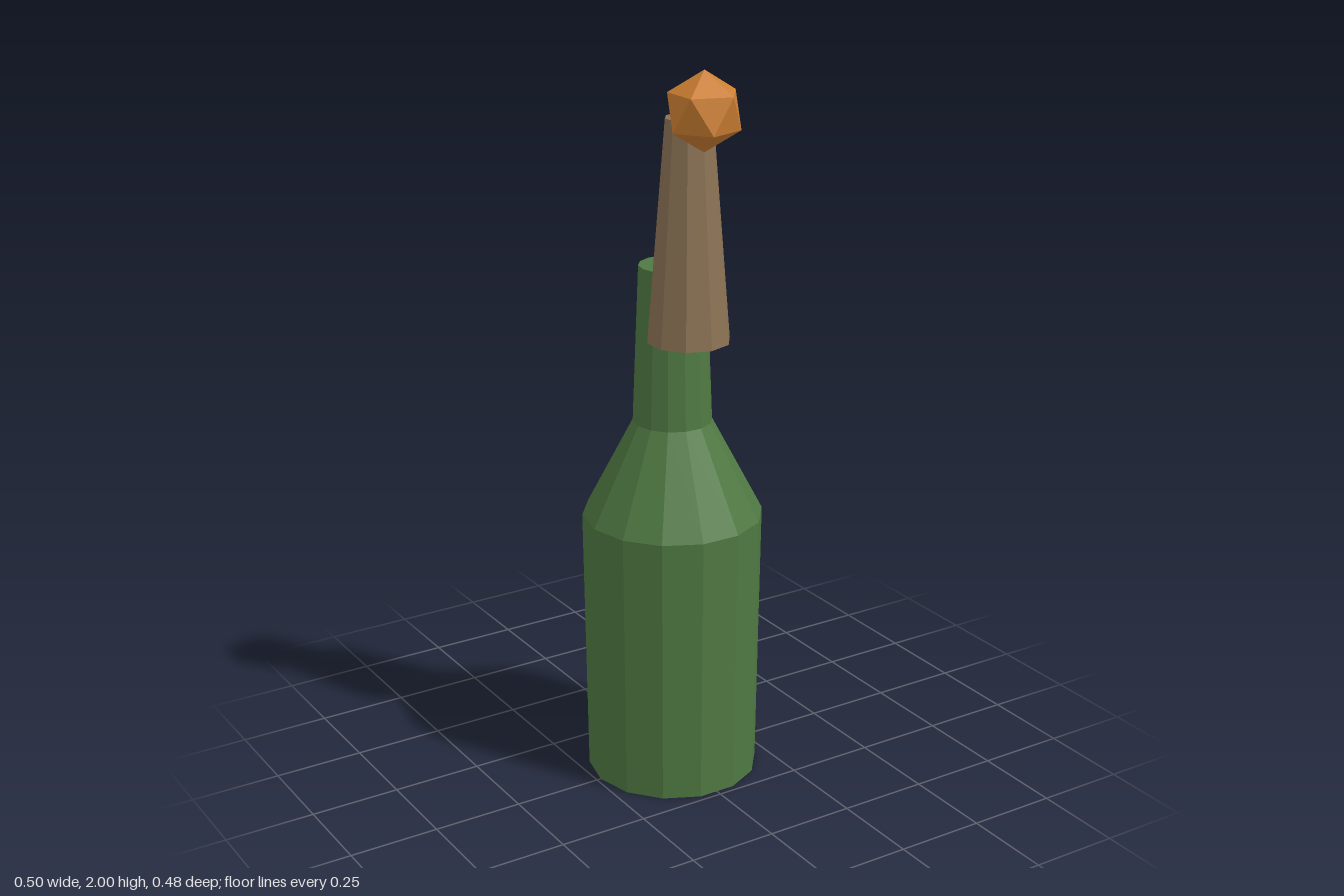
import * as THREE from 'three';

function material(name, color) {
  const m = new THREE.MeshStandardMaterial({ color, flatShading: true });
  m.name = name;
  return m;
}

export function createModel() {
  const group = new THREE.Group();
  group.name = 'stopperedBottle';
  const glass = material('green glass', 0x4f7942);
  const cloth = material('brown cloth', 0x8b7355);
  const orange = material('orange', 0xcd7f32);

  function add(name, geometry, mat, y = 0, z = 0) {
    const mesh = new THREE.Mesh(geometry, mat);
    mesh.name = name;
    mesh.position.set(0, y, z);
    group.add(mesh);
  }

  // Fourteen-sided bottle: base, body, shoulder, neck and closed top
  const profile = [
    [0, 0], [0.238, 0], [0.248, 0.762], [0.108, 1.03], [0.091, 1.463], [0, 1.463],
  ].map(([r, y]) => new THREE.Vector2(r, y));
  add('bottle', new THREE.LatheGeometry(profile, 14).rotateY(Math.PI / 2), glass);

  // Tapered cloth in front of the neck
  const bottom = 1.275, top = 1.868;
  add('cloth', new THREE.CylinderGeometry(0.064, 0.1125, top - bottom, 10), cloth,
    (bottom + top) / 2, 0.08);

  // Faceted tip, turned so that one corner points straight up
  const tilt = Math.atan(2 / (1 + Math.sqrt(5)));
  add('tip', new THREE.IcosahedronGeometry(0.105, 0).rotateZ(-tilt), orange, 1.895, 0.15);

  return group;
}
